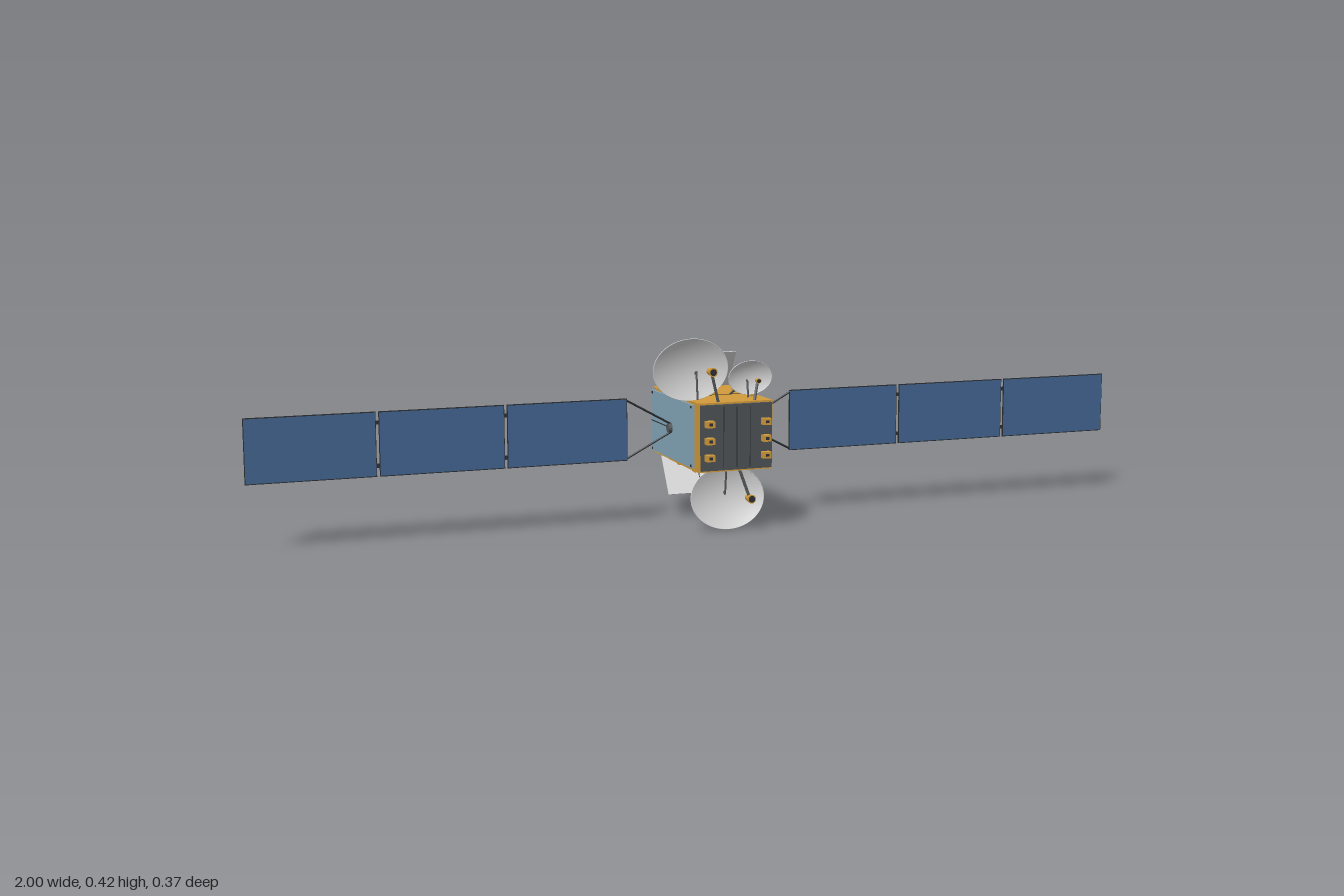
import * as THREE from 'three';

const mat = (name, color, side = THREE.FrontSide) => {
  const m = new THREE.MeshStandardMaterial({ color, side });
  m.name = name;
  return m;
};

export function createModel() {
  const gold = mat('gold foil', 0xd39c3c);
  const radiatorBlue = mat('radiator blue', 0x86aabd);
  const cellBlue = mat('solar cell blue', 0x41638f);
  const backGrey = mat('panel back grey', 0x767c80);
  const dark = mat('dark frame', 0x2b2e31);
  const deckGrey = mat('deck grey', 0x4c5154);
  const dishWhite = mat('dish white', 0xd6d6d6, THREE.DoubleSide);
  const strutGrey = mat('strut grey', 0x55595c);
  const metal = mat('engine metal', 0x8d949a, THREE.DoubleSide);

  const root = new THREE.Group();
  root.name = 'satellite';
  const CY = 0.209; // height of the body axis

  const add = (name, geo, material, x = 0, y = 0, z = 0, parent = root) => {
    const m = new THREE.Mesh(geo, material);
    m.name = name;
    m.position.set(x, y, z);
    parent.add(m);
    return m;
  };
  const box = (name, material, w, h, d, x, y, z, parent) =>
    add(name, new THREE.BoxGeometry(w, h, d), material, x, y, z, parent);
  const strut = (name, a, b, r = 0.002, material = strutGrey) => {
    const va = new THREE.Vector3(...a), vb = new THREE.Vector3(...b);
    const dir = vb.clone().sub(va);
    const m = add(name, new THREE.CylinderGeometry(r, r, dir.length(), 8), material);
    m.position.copy(va).add(vb).multiplyScalar(0.5);
    m.quaternion.setFromUnitVectors(new THREE.Vector3(0, 1, 0), dir.normalize());
    return m;
  };
  // Cylinder lying along z; rFront is the radius at its +z end
  const zCyl = (name, material, rFront, rBack, len, x, y, z, open = false, seg = 28) =>
    add(name, new THREE.CylinderGeometry(rFront, rBack, len, seg, 1, open).rotateX(Math.PI / 2), material, x, y, z);

  // Bus: front module, narrower service module, rear closing plate
  box('frontModule', gold, 0.168, 0.148, 0.186, 0, CY, 0.068);
  box('serviceModule', gold, 0.156, 0.138, 0.105, 0, CY, -0.0765);
  box('rearPlate', gold, 0.148, 0.128, 0.02, 0, CY, -0.135);
  box('frontDeck', deckGrey, 0.16, 0.14, 0.008, 0, CY, 0.165);
  for (const s of [-1, 1]) box('servicePlate', gold, 0.165, 0.002, 0.112, 0, CY + s * 0.073, -0.079);

  // Side radiators with seams, fasteners and wing hub
  for (const s of [-1, 1]) {
    for (const [z0, z1] of [[0.138, 0.051], [0.048, -0.037], [-0.041, -0.125]])
      box('radiator', radiatorBlue, 0.005, 0.136, z0 - z1, s * 0.0865, CY, (z0 + z1) / 2);
    box('radiatorBacking', gold, 0.008, 0.13, 0.11, s * 0.081, CY, -0.07);
    box('radiatorSeam', dark, 0.001, 0.002, 0.105, s * 0.0894, CY, -0.0725);
    for (const z of [0.131, -0.118]) for (const t of [-1, 1])
      box('fastener', dark, 0.002, 0.005, 0.005, s * 0.0895, CY + t * 0.063, z);
    const hub = add('wingHub', new THREE.CylinderGeometry(0.01, 0.01, 0.012, 20), strutGrey, s * 0.091, CY, 0.005);
    hub.rotation.z = Math.PI / 2;
  }

  // Blocks on the front deck
  for (const x of [-0.064, 0.064]) for (const y of [0.168, 0.204, 0.24]) {
    box('deckBlock', gold, 0.018, 0.014, 0.016, x, y, 0.176);
    box('deckBlockFace', dark, 0.008, 0.006, 0.001, x, y, 0.1842);
  }
  for (const x of [-0.03, 0, 0.03])
    box('deckSeam', dark, 0.0015, 0.13, 0.001, x, CY, 0.1693);

  // Fittings on the upper and lower faces, and hinged rear flaps
  for (const s of [-1, 1]) {
    for (const z of [0.095, 0, -0.093]) for (const x of [-0.064, 0.064]) {
      box('faceBlock', gold, 0.014, 0.009, 0.014, x, CY + s * 0.0785, z);
      box('faceBlockCap', dark, 0.006, 0.001, 0.006, x, CY + s * 0.0833, z);
    }
    box('faceSeam', dark, 0.164, 0.001, 0.002, 0, CY + s * 0.0743, 0.05);
    const flap = new THREE.Group();
    flap.name = 'rearFlap';
    flap.position.set(0, CY + s * 0.076, -0.087);
    flap.rotation.x = s * Math.atan2(0.049, 0.081);
    root.add(flap);
    for (const x of [-0.0405, 0.0405])
      box('flapPlate', dishWhite, 0.079, 0.094, 0.002, x, s * 0.047, 0, flap);
    box('flapSeam', dark, 0.002, 0.094, 0.0015, 0, s * 0.047, 0, flap);
  }

  // Reflector: shallow elliptical bowl opening to the front
  const dish = (name, x, y, z, rx, ry, depth, tilt) => {
    const pts = [];
    for (let i = 0; i <= 10; i++) pts.push(new THREE.Vector2(i / 10, (i / 10) ** 2 - 1));
    const geo = new THREE.LatheGeometry(pts, 48).rotateX(Math.PI / 2).scale(rx, ry, depth);
    const m = add(name, geo, dishWhite, x, y, z);
    m.rotation.x = tilt;
    const rim = add(name + 'Rim', new THREE.TorusGeometry(1, 0.012, 6, 48).scale(rx, ry, 0.08), dishWhite, x, y, z);
    rim.rotation.x = tilt;
  };
  // Feed horn on a boom
  const feed = (name, base, tip, size) => {
    strut(name + 'Boom', base, tip, 0.0032);
    zCyl(name + 'Horn', gold, size * 0.4, size * 0.28, size, ...tip);
    zCyl(name + 'Mouth', dark, size * 0.3, size * 0.3, 0.001, tip[0], tip[1], tip[2] + size / 2 + 0.0003);
  };
  const braces = (x, y, z, baseY, spread) => {
    for (const s of [-1, 1]) strut('dishBrace', [x + s * spread, baseY, 0.05], [x, y, z], 0.0023);
    strut('dishBrace', [x, baseY, 0.108], [x, y, z], 0.0023);
  };
  dish('upperDish', -0.084, 0.349, 0.115, 0.084, 0.067, 0.017, 0.115);
  braces(-0.066, 0.343, 0.101, 0.283, 0.022);
  feed('upperFeed', [-0.035, 0.28, 0.151], [-0.053, 0.348, 0.156], 0.024);
  dish('smallDish', 0.053, 0.326, 0.112, 0.05, 0.037, 0.011, 0.115);
  braces(0.05, 0.32, 0.102, 0.283, 0.02);
  feed('smallFeed', [0.048, 0.28, 0.148], [0.06, 0.322, 0.137], 0.014);
  dish('lowerDish', 0, 0.069, 0.115, 0.084, 0.0685, 0.017, -0.115);
  braces(0, 0.073, 0.1, 0.135, 0.025);
  feed('lowerFeed', [0.012, 0.138, 0.151], [0.035, 0.072, 0.156], 0.024);

  // Solar wings: yoke and three panels a side
  const Z = 0.005, PY = 0.211, PH = 0.136;
  for (const s of [-1, 1]) {
    for (const t of [-1, 1])
      strut('yokeArm', [s * 0.088, CY + t * 0.008, Z], [s * 0.192, PY + t * 0.064, Z], 0.0022, dark);
    for (const [x0, x1] of [[0.19, 0.456], [0.462, 0.727], [0.733, 1.0]]) {
      const w = x1 - x0, x = s * (x0 + x1) / 2;
      box('panelCore', dark, w, PH, 0.003, x, PY, Z);
      box('panelCells', cellBlue, w - 0.003, PH - 0.004, 0.001, x, PY, Z + 0.0018);
      box('panelBack', backGrey, w - 0.003, PH - 0.004, 0.001, x, PY, Z - 0.0018);
      for (const t of [-1, 1]) for (let i = 0; i < 10; i++)
        box('backStitch', dark, 0.013, 0.0015, 0.0006, x + (i - 4.5) * w / 10, PY + t * 0.052, Z - 0.0024);
    }
    for (const x of [0.459, 0.73]) for (const t of [-1, 1])
      box('panelHinge', dark, 0.012, 0.008, 0.004, s * x, PY + t * 0.045, Z);
  }

  // Rear: interface ring, main engine and corner thrusters
  const ring = [[0.046, 0], [0.055, 0], [0.055, 0.016], [0.046, 0.016], [0.046, 0]]
    .map(p => new THREE.Vector2(...p));
  add('interfaceRing', new THREE.LatheGeometry(ring, 40).rotateX(-Math.PI / 2).scale(1, 1, 1), metal, 0, CY, -0.145)
    .rotation.y = 0;
  root.children.at(-1).position.z = -0.145;
  zCyl('engineMount', deckGrey, 0.03, 0.024, 0.016, 0, CY, -0.152);
  zCyl('engineNozzle', metal, 0.012, 0.023, 0.024, 0, CY, -0.171, true);
  for (const sx of [-1, 1]) for (const sy of [-1, 1]) {
    box('thrusterBlock', gold, 0.02, 0.02, 0.018, sx * 0.05, CY + sy * 0.045, -0.154);
    zCyl('thrusterNozzle', dark, 0.002, 0.005, 0.006, sx * 0.05, CY + sy * 0.045, -0.166, false, 12);
  }
  return root;
}
